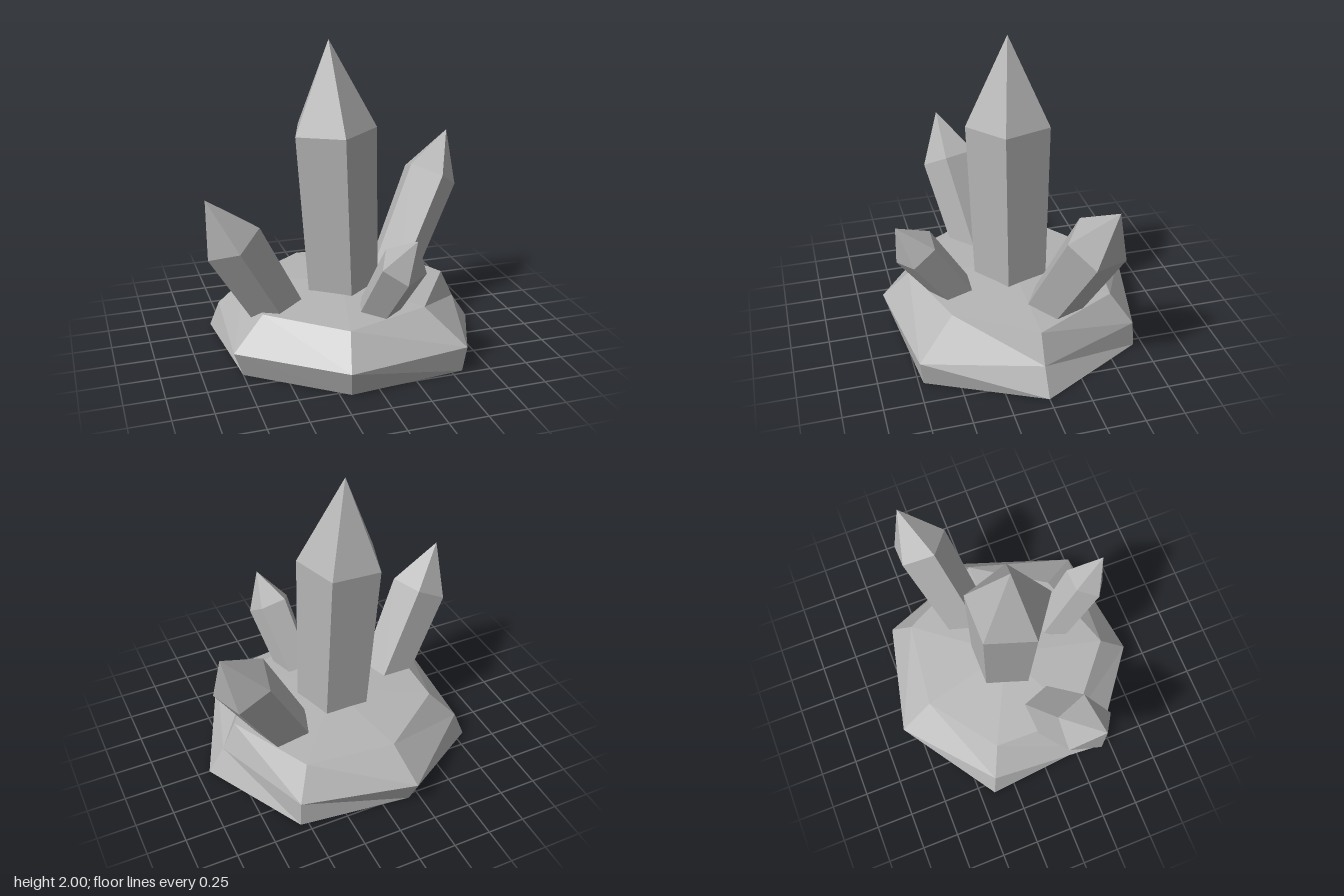
import * as THREE from 'three';

const V = (x, y, z) => new THREE.Vector3(x, y, z);

// Skin a stack of equal rings (lowest first), closed by a fan to a point at each end
function loft(name, rings, bottom, top, material) {
  const pts = [];
  const n = rings[0].length;
  for (let i = 0; i < n; i++) {
    const j = (i + 1) % n;
    for (let k = 0; k < rings.length - 1; k++) {
      const lo = rings[k], up = rings[k + 1];
      pts.push(lo[i], up[i], up[j], lo[i], up[j], lo[j]);
    }
    const last = rings[rings.length - 1];
    pts.push(bottom, rings[0][i], rings[0][j], top, last[j], last[i]);
  }
  const geometry = new THREE.BufferGeometry().setFromPoints(pts);
  geometry.computeVertexNormals();
  const mesh = new THREE.Mesh(geometry, material);
  mesh.name = name;
  return mesh;
}

// Five-sided crystal: flaring shaft from foot to shoulder, then a point at the tip
function crystal(name, foot, shoulder, tip, footRadius, shoulderRadius, material) {
  const axis = tip.clone().sub(foot).normalize();
  const r = V(0, 0, 1).addScaledVector(axis, -axis.z).normalize();
  const s = r.clone().cross(axis);
  const ring = (centre, radius) => Array.from({ length: 5 }, (_, i) => {
    const a = (i / 5) * Math.PI * 2;
    return centre.clone()
      .addScaledVector(r, Math.cos(a) * radius)
      .addScaledVector(s, Math.sin(a) * radius);
  });
  return loft(name, [ring(foot, footRadius), ring(shoulder, shoulderRadius)], foot, tip, material);
}

export function createModel() {
  const group = new THREE.Group();
  group.name = 'crystalCluster';
  const stone = new THREE.MeshStandardMaterial({ color: 0xb4b4b4, flatShading: true });
  stone.name = 'grey stone';

  // Rock base: three irregular seven-sided rings, [x, z] from the +x corner round to the front
  const level = (y, corners) => corners.map(([x, z]) => V(x, y, z));
  const ground = level(0, [[0.92, 0], [0.57, 0.72], [-0.18, 0.79], [-0.75, 0.36],
    [-0.82, -0.4], [-0.18, -0.78], [0.55, -0.69]]);
  const rim = level(0.17, [[0.81, 0], [0.59, 0.74], [-0.2, 0.85], [-0.81, 0.39],
    [-0.76, -0.37], [-0.2, -0.85], [0.54, -0.68]]);
  const shelf = level(0.36, [[0.72, 0], [0.4, 0.49], [-0.15, 0.67], [-0.6, 0.29],
    [-0.59, -0.29], [-0.14, -0.62], [0.44, -0.55]]);
  group.add(loft('rockBase', [ground, rim, shelf], V(0, 0, 0), V(0, 0.4, 0), stone));

  // Crystals
  group.add(
    crystal('mainCrystal', V(0, 0.25, 0), V(-0.055, 1.435, 0), V(-0.08, 2, 0), 0.245, 0.28, stone),
    crystal('rightCrystal', V(-0.464, 0.3, 0.129), V(-0.772, 0.862, 0.242), V(-0.93, 1.15, 0.3), 0.17, 0.192, stone),
    crystal('leftCrystal', V(0.4, 0.31, -0.157), V(0.748, 0.965, -0.326), V(0.9, 1.25, -0.4), 0.172, 0.196, stone),
    crystal('frontCrystal', V(0.105, 0.33, 0.4), V(0.182, 0.738, 0.662), V(0.22, 0.94, 0.79), 0.13, 0.15, stone),
  );
  return group;
}
